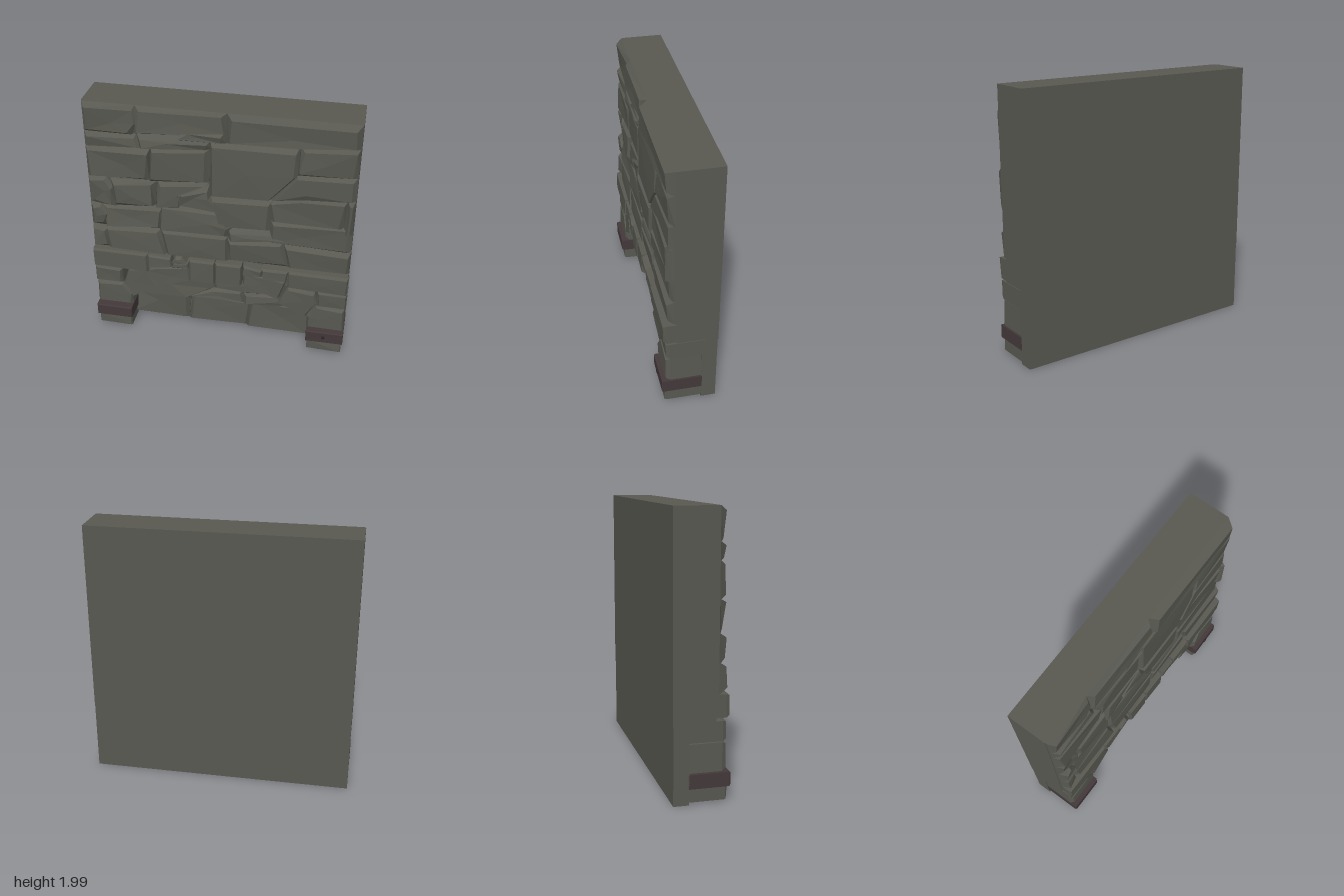
import * as THREE from 'three';

const stoneMat = new THREE.MeshStandardMaterial({ color: 0x585851 });
stoneMat.name = 'grey stone';
const bandMat = new THREE.MeshStandardMaterial({ color: 0x43383a });
bandMat.name = 'dark band';
const boltMat = new THREE.MeshStandardMaterial({ color: 0x2c2728 });
boltMat.name = 'bolt iron';

let seed = 11;
const rnd = () => {
  seed = (seed * 16807) % 2147483647;
  return seed / 2147483647 - 0.5;
};

// Flat-shaded chiselled block from an outline [x, y, x, y, ...]:
// back ring, shoulder ring and an inset, uneven front ring with a centre peak
function block(flat, { back, shoulder, front, bevel = 0.03, rough = 0.02 }) {
  let pts = [];
  for (let i = 0; i < flat.length; i += 2) pts.push(new THREE.Vector2(flat[i], flat[i + 1]));
  if (THREE.ShapeUtils.isClockWise(pts)) pts.reverse();
  const box = new THREE.Box2().setFromPoints(pts);
  const c = box.getCenter(new THREE.Vector2());
  const s = box.getSize(new THREE.Vector2());
  const n = pts.length;
  const inset = (p) => [
    c.x + (p.x - c.x) * (1 - (bevel * (1 + rnd())) / (s.x / 2)),
    c.y + (p.y - c.y) * (1 - (bevel * (1 + rnd())) / (s.y / 2)),
    front + rnd() * rough,
  ];
  const rings = [
    pts.map((p) => [p.x, p.y, back]),
    pts.map((p) => [p.x, p.y, shoulder]),
    pts.map(inset),
  ];
  const mean = (ring) => [0, 1, 2].map((k) => ring.reduce((a, p) => a + p[k], 0) / n);
  const peak = mean(rings[2]);
  peak[0] += rnd() * s.x * 0.3;
  peak[1] += rnd() * s.y * 0.2;
  peak[2] += rnd() * rough * 0.6;
  const rear = mean(rings[0]);
  const v = [];
  const tri = (...corners) => corners.forEach((p) => v.push(...p));
  for (let i = 0; i < n; i++) {
    const j = (i + 1) % n;
    for (let r = 0; r < 2; r++) {
      tri(rings[r][i], rings[r][j], rings[r + 1][j]);
      tri(rings[r][i], rings[r + 1][j], rings[r + 1][i]);
    }
    tri(rings[2][i], rings[2][j], peak);
    tri(rings[0][j], rings[0][i], rear);
  }
  const g = new THREE.BufferGeometry();
  g.setAttribute('position', new THREE.Float32BufferAttribute(v, 3));
  g.computeVertexNormals();
  return g;
}

const rect = (x0, y0, x1, y1) => [x0, y0, x1, y0, x1, y1, x0, y1];

// Rough facing of the upper wall, from the top course down
const topCourses = [
  [-0.99, 1.75, -0.63, 1.75, -0.58, 1.84, -0.6, 1.985, -0.99, 1.985],
  [-0.62, 1.76, -0.28, 1.8, 0.06, 1.84, 0.06, 1.985, -0.6, 1.985],
  [-0.3, 1.74, 0.06, 1.75, 0.06, 1.86, -0.24, 1.86],
  [0.05, 1.76, 0.58, 1.76, 0.99, 1.8, 0.99, 1.985, 0.06, 1.985],
  [-0.99, 1.63, -0.56, 1.65, -0.6, 1.76, -0.99, 1.76],
  [-0.58, 1.65, -0.05, 1.7, -0.05, 1.77, -0.6, 1.78],
  [-0.99, 1.38, -0.52, 1.39, -0.5, 1.66, -0.99, 1.64],
  [-0.52, 1.38, -0.07, 1.42, -0.05, 1.71, -0.5, 1.66],
  [-0.07, 1.31, 0.38, 1.33, 0.58, 1.55, 0.57, 1.77, -0.06, 1.76],
  [0.56, 1.55, 0.99, 1.57, 0.99, 1.81, 0.58, 1.78],
];
const middleCourses = [
  [-0.99, 1.15, -0.78, 1.13, -0.8, 1.31, -0.85, 1.38, -0.99, 1.39],
  [-0.8, 1.14, -0.48, 1.18, -0.46, 1.39, -0.82, 1.37],
  [-0.48, 1.15, -0.3, 1.17, -0.3, 1.31, -0.07, 1.42, -0.46, 1.39],
  [-0.32, 1.2, 0.04, 1.16, -0.06, 1.31, -0.07, 1.4, -0.3, 1.31],
  [0.38, 1.32, 0.62, 1.36, 0.99, 1.39, 0.99, 1.58, 0.56, 1.56],
  [0.38, 1.14, 0.92, 1.14, 0.94, 1.39, 0.6, 1.37, 0.36, 1.32],
  [0.91, 1.1, 0.99, 1.1, 0.99, 1.4, 0.93, 1.39],
  [-0.02, 1.05, 0.4, 1.06, 0.4, 1.33, -0.06, 1.31],
];
const lowCourses = [
  [-0.99, 0.95, -0.88, 0.95, -0.84, 1.08, -0.9, 1.16, -0.99, 1.16],
  [-0.88, 0.95, -0.45, 0.97, -0.42, 1.17, -0.9, 1.14],
  [-0.46, 0.96, 0.08, 0.96, 0.1, 1.05, 0.02, 1.18, -0.44, 1.19],
  [0.07, 0.94, 0.52, 1.0, 0.38, 1.07, 0.07, 1.04],
  [0.38, 0.95, 0.99, 0.93, 0.99, 1.16, 0.38, 1.17],
  [-0.99, 0.75, -0.86, 0.75, -0.86, 0.93, -0.99, 0.97],
  [-0.88, 0.75, -0.4, 0.75, -0.44, 0.98, -0.88, 0.96],
  [-0.42, 0.75, 0.08, 0.75, 0.08, 0.98, -0.46, 0.98],
  [0.06, 0.75, 0.54, 0.75, 0.5, 1.0, 0.06, 0.96],
  [0.52, 0.75, 0.99, 0.75, 0.99, 0.95, 0.48, 0.98],
];

// Dressed course at the change of level, with the arch blocks below it
const dressedCourse = [
  rect(-0.99, 0.59, -0.55, 0.75),
  [-0.55, 0.63, -0.36, 0.66, -0.37, 0.74, -0.55, 0.745],
  [-0.36, 0.7, -0.24, 0.7, -0.28, 0.76, -0.33, 0.76],
  [-0.36, 0.65, -0.23, 0.66, -0.23, 0.71, -0.35, 0.7],
  rect(-0.225, 0.55, -0.025, 0.745),
  rect(-0.02, 0.56, 0.185, 0.745),
  [0.19, 0.67, 0.34, 0.66, 0.34, 0.72, 0.2, 0.75],
  [0.35, 0.65, 0.53, 0.64, 0.54, 0.74, 0.34, 0.74],
  [0.54, 0.6, 0.99, 0.58, 0.99, 0.74, 0.54, 0.745],
];
const archBlocks = [
  [-0.58, 0.59, -0.48, 0.45, -0.21, 0.53, -0.23, 0.66, -0.5, 0.62],
  [-0.7, 0.3, -0.48, 0.44, -0.57, 0.59, -0.72, 0.58, -0.76, 0.45],
  [0.19, 0.56, 0.47, 0.45, 0.53, 0.63, 0.2, 0.67],
  [0.47, 0.42, 0.69, 0.31, 0.77, 0.47, 0.75, 0.54, 0.54, 0.57],
];

// Recessed stones between the piers
const recessStones = [
  [-0.74, 0.01, -0.28, 0.01, -0.26, 0.26, -0.5, 0.33, -0.74, 0.26],
  [-0.28, 0.01, 0.21, 0.01, 0.25, 0.28, -0.24, 0.3],
  [0.2, 0.01, 0.74, 0.01, 0.74, 0.28, 0.24, 0.32],
  [-0.72, 0.28, -0.26, 0.27, -0.05, 0.4, -0.08, 0.56, -0.72, 0.5],
  [-0.28, 0.29, 0.2, 0.28, 0.18, 0.42, -0.06, 0.4],
  [-0.06, 0.4, 0.2, 0.38, 0.5, 0.42, 0.4, 0.57, -0.08, 0.57],
  [0.17, 0.29, 0.72, 0.3, 0.6, 0.45, 0.18, 0.38],
];

export function createModel() {
  const model = new THREE.Group();
  const add = (name, geometry, material = stoneMat, parent = model) => {
    const mesh = new THREE.Mesh(geometry, material);
    mesh.name = name;
    parent.add(mesh);
    return mesh;
  };
  const slab = (name, x0, x1, y0, y1, z0, z1) =>
    add(name, new THREE.BoxGeometry(x1 - x0, y1 - y0, z1 - z0))
      .position.set((x0 + x1) / 2, (y0 + y1) / 2, (z0 + z1) / 2);
  const course = (name, outlines, options) => {
    const group = new THREE.Group();
    group.name = name;
    outlines.forEach((o) => add('stone', block(o, options(o)), stoneMat, group));
    model.add(group);
  };

  // Solid wall body
  slab('upperWall', -0.995, 0.99, 0.55, 1.985, -0.204, 0.095);
  slab('lowerWall', -0.995, 0.99, 0, 0.55, -0.2, -0.09);
  slab('recessBacking', -0.75, 0.75, 0.005, 0.57, -0.12, -0.04);

  // Stone facings
  const rough = () => ({ back: 0.05, shoulder: 0.112, front: 0.158 + rnd() * 0.018, bevel: 0.03, rough: 0.025 });
  course('topCourses', topCourses, rough);
  course('middleCourses', middleCourses, rough);
  course('lowCourses', lowCourses, rough);
  course('dressedCourse', dressedCourse, () => (
    { back: 0.05, shoulder: 0.165, front: 0.185 + rnd() * 0.012, bevel: 0.01, rough: 0.008 }));
  course('archBlocks', archBlocks, () => (
    { back: -0.1, shoulder: 0.13, front: 0.16, bevel: 0.015, rough: 0.015 }));
  course('recessStones', recessStones, (o) => {
    const front = o[1] < 0.1 ? 0.01 : 0.07;
    return { back: -0.1, shoulder: front - 0.04, front, bevel: 0.03, rough: 0.03 };
  });

  // Corner piers with a dark band above each foot
  for (const side of [-1, 1]) {
    const pier = new THREE.Group();
    pier.name = side > 0 ? 'leftPier' : 'rightPier';
    const span = (inner, outer, y0, y1) => rect(side * inner, y0, side * outer, y1);
    const dressed = { back: -0.11, shoulder: 0.14, front: 0.17, bevel: 0.015, rough: 0.012 };
    add('foot', block(span(0.715, 0.985, 0.015, 0.115), { ...dressed, back: -0.09, shoulder: 0.165, front: 0.175, bevel: 0.006 }), stoneMat, pier);
    add('band', block(span(0.705, 0.995, 0.11, 0.21), { back: -0.095, shoulder: 0.19, front: 0.2, bevel: 0.006, rough: 0.004 }), bandMat, pier);
    add('lowerBlock', block([side * 0.7, 0.22, side * 0.99, 0.22, side * 0.985, 0.42, side * 0.77, 0.43, side * 0.7, 0.33], dressed), stoneMat, pier);
    add('upperBlock', block(span(0.77, 0.995, 0.43, 0.57), dressed), stoneMat, pier);
    model.add(pier);
  }

  // Bolt on the left band
  const bolt = add('bolt', new THREE.CylinderGeometry(0.012, 0.018, 0.012, 6), boltMat);
  bolt.rotation.x = Math.PI / 2;
  bolt.position.set(0.842, 0.165, 0.203);

  return model;
}
